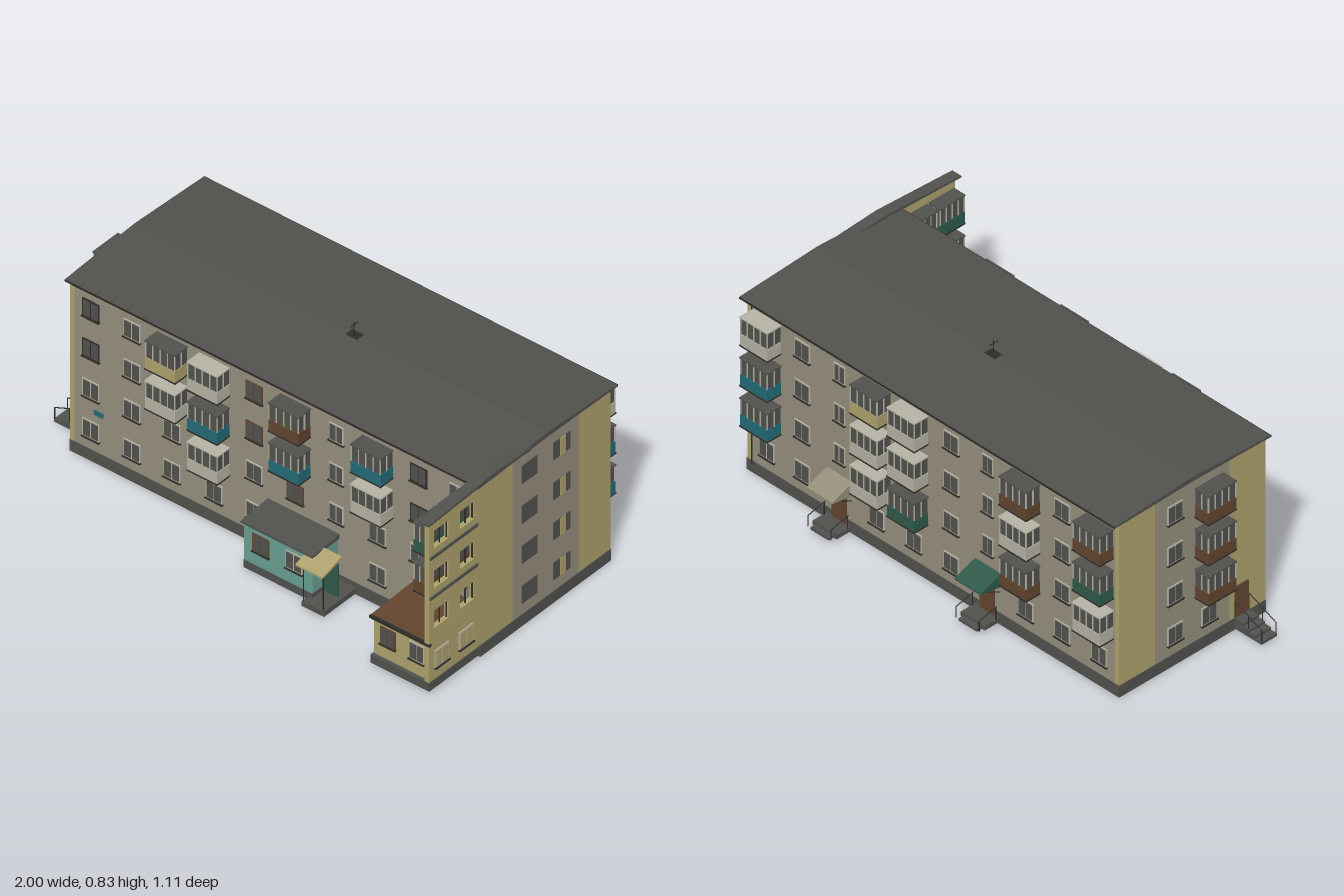
import * as THREE from 'three';

const mat = (name, color) => Object.assign(new THREE.MeshStandardMaterial({ color }), { name });

export function createModel() {
  const M = {
    wall: mat('grey beige render', 0x958f7d), yellow: mat('ochre render', 0xaea26d),
    dark: mat('slate grey', 0x51514e), light: mat('off white', 0xb5b3a4),
    teal: mat('teal', 0x236b78), mint: mat('mint', 0x69a093),
    brown: mat('brown', 0x62452f), green: mat('dark green', 0x2f5a4a),
    trim: mat('near black trim', 0x2f2c29),
  };
  const model = new THREE.Group();
  model.name = 'apartmentBlock';

  const add = (parent, name, geo, m) => {
    const mesh = new THREE.Mesh(geo, m);
    mesh.name = name;
    parent.add(mesh);
    return mesh;
  };
  // Box given by its lower and upper corner
  const box = (parent, name, m, x0, x1, y0, y1, z0, z1) => {
    const b = add(parent, name, new THREE.BoxGeometry(x1 - x0, y1 - y0, z1 - z0), m);
    b.position.set((x0 + x1) / 2, (y0 + y1) / 2, (z0 + z1) / 2);
    return b;
  };
  // Thin bar between two points
  const bar = (parent, name, m, a, b, r = 0.002) => {
    const p = new THREE.Vector3(...a), q = new THREE.Vector3(...b);
    const c = add(parent, name, new THREE.CylinderGeometry(r, r, p.distanceTo(q), 5), m);
    c.position.copy(p).add(q).multiplyScalar(0.5);
    c.quaternion.setFromUnitVectors(new THREE.Vector3(0, 1, 0), q.sub(p).normalize());
  };
  // Profile of [z, y] points extruded along x
  const prismX = (parent, name, m, pts, x0, x1) => {
    const s = new THREE.Shape(pts.map(([z, y]) => new THREE.Vector2(-z, y)));
    const p = add(parent, name, new THREE.ExtrudeGeometry(s, { depth: x1 - x0, bevelEnabled: false }), m);
    p.rotation.y = Math.PI / 2;
    p.position.x = x0;
  };
  // Wall frame: local z points outwards, local x runs along the wall
  const facade = (name, x, z, turn) => {
    const g = new THREE.Group();
    g.name = name;
    g.position.set(x, 0, z);
    g.rotation.y = turn;
    model.add(g);
    return g;
  };
  const front = facade('frontFacade', 0, 0.26, 0);
  const rear = facade('rearFacade', 0, -0.45, Math.PI);
  const left = facade('rightHandEnd', -0.86, 0, -Math.PI / 2);
  const right = facade('leftHandEnd', 0.985, 0, Math.PI / 2);

  const levels = [0.137, 0.312, 0.487, 0.662];
  const columns = [-0.765, -0.58, -0.4, -0.21, -0.03, 0.155, 0.34, 0.525, 0.71, 0.885];

  const windowAt = (g, x, y, w = 0.075, frame = M.light, pane = M.dark, z = 0) => {
    const h = 0.076, e = 0.005;
    box(g, 'windowFrame', frame, x - w / 2, x + w / 2, y - h / 2, y + h / 2, z - 0.002, z + 0.004);
    for (const s of [-1, 1]) {
      const p = w / 2 - e * 1.5, c = x + s * (p / 2 + e / 2);
      box(g, 'windowPane', pane, c - p / 2, c + p / 2, y - h / 2 + e, y + h / 2 - e, z, z + 0.006);
    }
    box(g, 'windowSill', M.trim, x - w / 2 - 0.003, x + w / 2 + 0.003, y - h / 2 - 0.004, y - h / 2, z, z + 0.01);
  };

  const balcony = (g, x, y, m, w = 0.135, d = 0.068) => {
    const b = new THREE.Group(), h = w / 2;
    b.name = 'balcony';
    b.position.set(x, y - 0.075, 0);
    g.add(b);
    box(b, 'balconySlab', M.trim, -h - 0.002, h + 0.002, 0, 0.005, 0, d + 0.002);
    box(b, 'balconyPanel', m, -h, h, 0.005, 0.054, 0, d);
    box(b, 'balconyGlazing', M.dark, -h + 0.003, h - 0.003, 0.054, 0.122, 0, d - 0.003);
    box(b, 'balconyRoof', m === M.light ? M.light : M.dark, -h - 0.002, h + 0.002, 0.122, 0.127, 0, d + 0.002);
    for (let i = 0; i < 5; i++) {
      const px = -h + 0.002 + i * (w - 0.004) / 4;
      box(b, 'balconyMullion', M.light, px - 0.002, px + 0.002, 0.054, 0.122, d - 0.004, d);
    }
    for (const s of [-1, 1]) box(b, 'sideMullion', M.light, s * h - 0.002, s * h + 0.002, 0.054, 0.122, d / 2 - 0.002, d / 2 + 0.002);
  };

  // Main body, plinth and roof
  box(model, 'mainBody', M.wall, -0.84, 0.926, 0.045, 0.755, -0.45, 0.26);
  box(model, 'plinth', M.dark, -0.862, 0.987, 0, 0.05, -0.452, 0.262);
  const rearStrip = add(rear, 'rearWallEnd', new THREE.PlaneGeometry(0.055, 0.705), M.wall);
  rearStrip.position.set(-0.948, 0.4, -0.001);
  prismX(model, 'mainRoof', M.dark, [[0.28, 0.75], [0.28, 0.758], [-0.1, 0.777], [-0.478, 0.758], [-0.478, 0.75], [-0.1, 0.757]], -0.867, 0.995);
  for (const z of [0.281, -0.479]) box(model, 'eavesTrim', M.trim, -0.867, 0.995, 0.75, 0.757, z - 0.002, z + 0.002);
  prismX(model, 'endWallRoof', M.dark, [[0.56, 0.75], [0.56, 0.757], [0.19, 0.778], [0, 0.767], [0, 0.757], [0.19, 0.765]], 0.955, 1.0);
  bar(model, 'antennaMast', M.trim, [0.125, 0.77, -0.095], [0.125, 0.835, -0.095]);
  bar(model, 'antennaCross', M.trim, [0.125, 0.822, -0.115], [0.125, 0.822, -0.075]);
  box(model, 'roofHatch', M.trim, 0.1, 0.15, 0.77, 0.779, -0.115, -0.08);

  // End walls with ochre bands; the one at +x runs on past the front as a pierced screen
  for (const [x0, x1] of [[-0.86, -0.84], [0.965, 0.985]]) {
    box(model, 'endWallMiddle', M.wall, x0, x1, 0.05, 0.756, -0.275, 0.085);
    box(model, 'endWallRearBand', M.yellow, x0, x1, 0.05, 0.756, -0.45, -0.275);
  }
  box(model, 'endWallFrontBand', M.yellow, -0.86, -0.84, 0.05, 0.756, 0.085, 0.262);
  const screen = new THREE.Shape([[-0.54, 0.05], [-0.085, 0.05], [-0.085, 0.757], [-0.19, 0.763], [-0.54, 0.753]].map(p => new THREE.Vector2(...p)));
  for (const z of [0.473, 0.332]) for (const y of levels.slice(1)) {
    const [a, b, c, d] = [-z - 0.039, -z + 0.039, y - 0.038, y + 0.038];
    screen.holes.push(new THREE.Path([[a, c], [a, d], [b, d], [b, c]].map(p => new THREE.Vector2(...p))));
    for (const s of [-0.038, 0, 0.038]) box(right, 'openingBar', M.trim, -z + s - 0.001, -z + s + 0.001, c, d, -0.012, -0.006);
  }
  const sm = add(model, 'screenWall', new THREE.ExtrudeGeometry(screen, { depth: 0.02, bevelEnabled: false }), M.yellow);
  sm.rotation.y = Math.PI / 2;
  sm.position.x = 0.965;

  // Balconies and ledges on the screen wall
  const inner = facade('screenBalconies', 0.965, 0, -Math.PI / 2);
  for (const z of [0.34, 0.472]) {
    balcony(inner, z, levels[3], M.green, 0.12, 0.056);
    balcony(inner, z, levels[2], M.brown, 0.12, 0.056);
    for (const y of [0.41, 0.585]) box(right, 'ledge', M.dark, -z - 0.064, -z + 0.064, y, y + 0.011, 0, 0.006);
    windowAt(right, -z, levels[0], 0.076, M.light, M.yellow);
  }

  // Windows of the two ends
  for (const y of levels) {
    box(right, 'endWindow', M.dark, -0.035, 0.047, y - 0.038, y + 0.04, 0, 0.004);
    box(right, 'endWindow', M.dark, 0.137, 0.23, y - 0.037, y + 0.038, 0, 0.003);
    box(right, 'windowInfill', M.yellow, 0.173, 0.203, y - 0.037, y + 0.038, 0, 0.005);
    windowAt(left, -0.18, y);
    if (y > 0.2) balcony(left, -0.015, y, M.brown);
    else windowAt(left, -0.015, y);
  }

  // Long facades: balcony colours by column, listed from level 2 upwards
  const { light: L, teal: T, brown: B, green: G, yellow: Y } = M;
  const frontBalconies = { 2: [null, L, Y], 3: [L, T, L], 5: [null, T, B], 7: [null, L, T] };
  const rearBalconies = { 0: [L, G, B], 2: [B, L, B], 5: [G, L, L], 6: [L, L, Y], 9: [T, T, L] };
  columns.forEach((x, c) => levels.forEach((y, l) => {
    const f = frontBalconies[c]?.[l - 1], r = rearBalconies[c]?.[l - 1];
    const narrow = c === 6 ? 0.065 : 0.075;
    const plain = (l > 1 && [0, 4, 8].includes(c)) || (l === 1 && c === 5);
    if (f) balcony(front, x, y, f);
    else if (l > 0 || c < 5 || c === 7 || c === 8) windowAt(front, x, y, narrow, plain ? (c === 4 || c === 5 ? B : M.trim) : L);
    if (r) balcony(rear, -x, y, r);
    else if (l > 0 || (c !== 3 && c !== 7)) windowAt(rear, -x, y, c === 3 || c === 7 ? 0.055 : 0.075);
  }));
  box(front, 'wallPlate', M.teal, -0.75, -0.71, 0.212, 0.232, 0, 0.005);
  bar(model, 'drainpipe', M.trim, [0.955, 0.04, -0.457], [0.955, 0.745, -0.457], 0.003);

  // Rear entrances
  for (const [x, m] of [[0.525, M.wall], [-0.21, M.green]]) {
    box(rear, 'rearDoor', M.brown, -x - 0.035, -x + 0.035, 0.03, 0.155, 0, 0.008);
    box(rear, 'porchSlab', M.dark, -x - 0.06, -x + 0.06, 0.012, 0.03, 0, 0.075);
    box(rear, 'porchStep', M.dark, -x - 0.045, -x + 0.045, 0.012, 0.022, 0.075, 0.1);
    prismX(rear, 'porchCanopy', m, [[0, 0.165], [0.1, 0.18], [0.1, 0.186], [0, 0.222]], -x - 0.064, -x + 0.064);
    for (const s of [-0.058, 0.058]) {
      bar(rear, 'canopyBrace', M.trim, [-x + s, 0.138, 0], [-x + s, 0.182, 0.078]);
      bar(rear, 'porchRail', M.trim, [-x + s, 0.085, 0.015], [-x + s, 0.065, 0.1]);
      for (const z of [0.02, 0.1]) bar(rear, 'railPost', M.trim, [-x + s, 0.02, z], [-x + s, z > 0.05 ? 0.065 : 0.084, z]);
    }
  }

  // Mint front annex with its covered entrance
  box(model, 'mintAnnex', M.mint, 0.038, 0.345, 0.045, 0.21, 0.26, 0.4);
  box(model, 'mintAnnexBase', M.dark, 0.036, 0.347, 0.012, 0.045, 0.26, 0.402);
  prismX(model, 'mintAnnexRoof', M.dark, [[0.26, 0.208], [0.41, 0.208], [0.41, 0.216], [0.26, 0.226]], 0.03, 0.353);
  windowAt(front, 0.115, 0.145, 0.075, M.brown, M.dark, 0.14);
  windowAt(front, 0.265, 0.145, 0.075, M.light, M.dark, 0.14);
  box(model, 'entranceDoor', M.green, 0.345, 0.412, 0.03, 0.17, 0.335, 0.345);
  box(model, 'entranceSlab', M.dark, 0.33, 0.43, 0.008, 0.03, 0.262, 0.44);
  prismX(model, 'entranceCanopy', M.yellow, [[0.345, 0.205], [0.45, 0.18], [0.45, 0.187], [0.345, 0.218]], 0.31, 0.432);
  for (const x of [0.335, 0.423]) bar(model, 'canopyPost', M.trim, [x, 0.03, 0.435], [x, 0.183, 0.435]);

  // Ochre corner annex
  box(model, 'cornerAnnex', M.yellow, 0.725, 0.966, 0.045, 0.207, 0.26, 0.525);
  box(model, 'cornerAnnexBase', M.dark, 0.722, 0.986, 0.012, 0.047, 0.26, 0.54);
  prismX(model, 'cornerAnnexRoof', M.brown, [[0.26, 0.207], [0.53, 0.207], [0.53, 0.215], [0.26, 0.226]], 0.717, 0.968);
  box(model, 'cornerRoofTrim', M.trim, 0.717, 0.988, 0.206, 0.217, 0.53, 0.541);
  windowAt(front, 0.79, 0.145, 0.068, M.brown, M.dark, 0.265);
  windowAt(front, 0.92, 0.145, 0.068, M.light, M.dark, 0.265);

  // Side entrance stairs
  for (let i = 0; i < 4; i++) box(model, 'sideStep', M.dark, -1 + i * 0.03, -0.86, 0.01 + i * 0.011, 0.021 + i * 0.011, 0.105, 0.18);
  box(left, 'sideDoor', M.brown, 0.11, 0.175, 0.055, 0.185, 0, 0.006);
  for (const z of [0.108, 0.177]) {
    bar(model, 'stairRail', M.trim, [-0.998, 0.07, z], [-0.865, 0.125, z]);
    for (const t of [0, 0.5, 1]) bar(model, 'stairPost', M.trim, [-0.998 + t * 0.133, 0.015, z], [-0.998 + t * 0.133, 0.07 + t * 0.055, z]);
  }
  return model;
}
